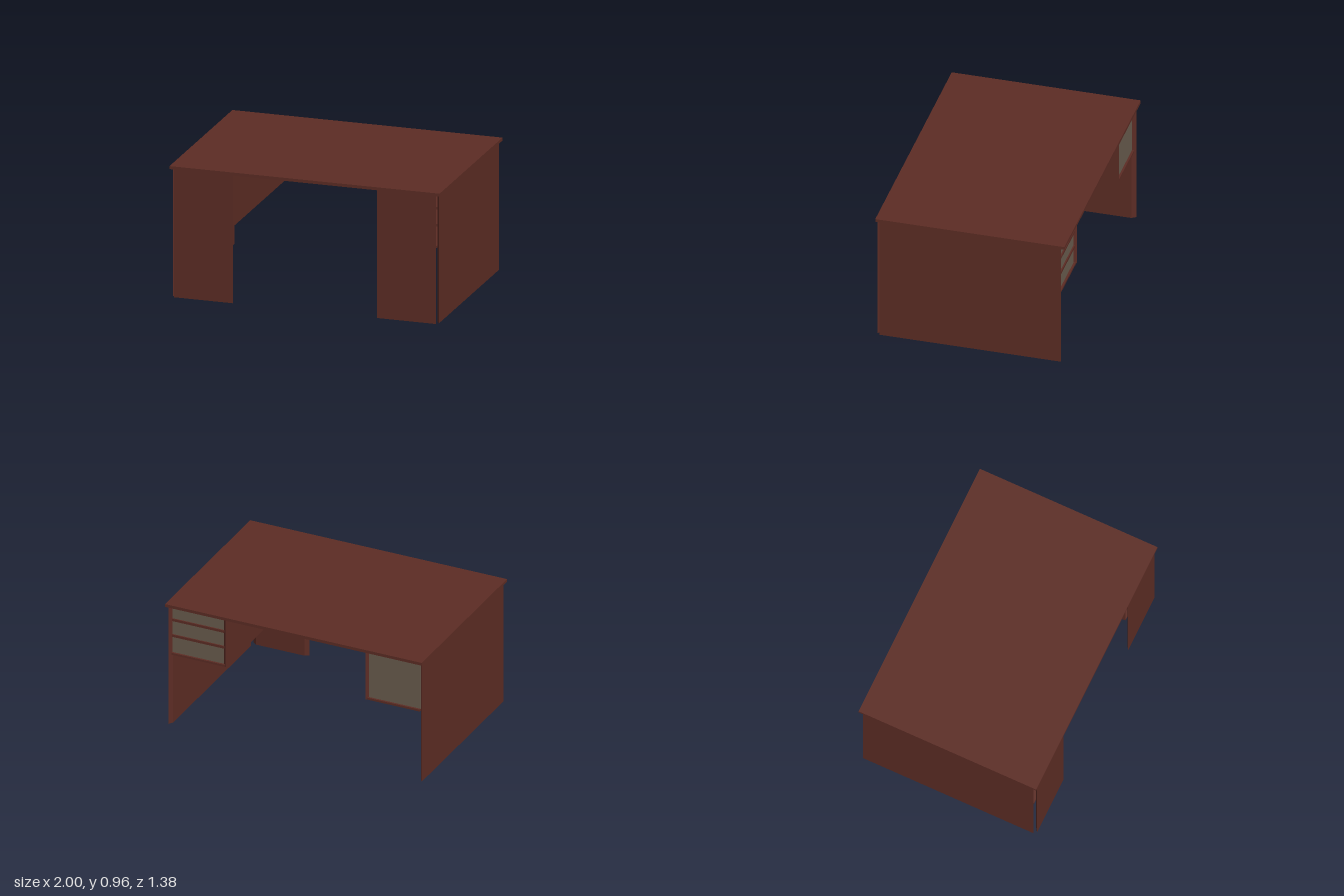
import * as THREE from 'three';

const wood = new THREE.MeshStandardMaterial({ color: 0x5c2c24 });
const frontFinish = new THREE.MeshStandardMaterial({ color: 0x6a5d4e });

const TOP_Y = 0.942;      // underside of the desktop
const FLOOR_Y = 0.55;     // underside of the pedestals
const BACK = -0.66;

function box(name, x0, x1, y0, y1, z0, z1, material = wood) {
  const mesh = new THREE.Mesh(new THREE.BoxGeometry(Math.abs(x1 - x0), y1 - y0, z1 - z0), material);
  mesh.position.set((x0 + x1) / 2, (y0 + y1) / 2, (z0 + z1) / 2);
  mesh.name = name;
  return mesh;
}

// Upright board with mitred ends: wide face on local +z, narrow face behind it
function mitredPanel(name, width, height, thickness = 0.02, mitre = 0.03) {
  const w = width / 2;
  const shape = new THREE.Shape([
    new THREE.Vector2(-w, 0),
    new THREE.Vector2(w, 0),
    new THREE.Vector2(w - mitre, thickness),
    new THREE.Vector2(-w + mitre, thickness),
  ]);
  const geometry = new THREE.ExtrudeGeometry(shape, { depth: height, bevelEnabled: false });
  geometry.rotateX(-Math.PI / 2);
  const mesh = new THREE.Mesh(geometry, wood);
  mesh.name = name;
  return mesh;
}

function createPedestal(side) {
  const group = new THREE.Group();
  group.name = side > 0 ? 'leftPedestal' : 'rightPedestal';

  // Outer side of the desk
  const outer = mitredPanel('sidePanel', 1.32, TOP_Y);
  outer.rotation.y = side * Math.PI / 2;
  outer.position.x = side * 0.985;

  // Modesty panel at the front
  const front = mitredPanel('frontPanel', 0.436, TOP_Y);
  front.position.set(side * 0.752, 0, 0.68);

  // Wall beside the knee space
  const inner = mitredPanel('kneeWall', 1.31, TOP_Y - FLOOR_Y, 0.02, 0.02);
  inner.rotation.y = -side * Math.PI / 2;
  inner.position.set(side * 0.545, FLOOR_Y, 0);

  const floor = box('pedestalFloor', side * 0.55, side * 0.966, FLOOR_Y, FLOOR_Y + 0.015, -0.65, 0.655);
  group.add(outer, front, inner, floor);

  // Drawers on one side, a single door on the other, facing the sitter
  const count = side > 0 ? 3 : 1;
  const y0 = FLOOR_Y + 0.015;
  const pitch = (TOP_Y - y0) / count;
  for (let i = 0; i < count; i++) {
    const low = y0 + i * pitch;
    const gap = i > 0 ? 0.018 : 0;
    if (gap) {
      group.add(box('drawerDivider', side * 0.562, side * 0.966, low, low + gap, BACK + 0.015, 0.6));
    }
    group.add(box(count > 1 ? 'drawerFront' : 'door', side * 0.562, side * 0.966,
      low + gap, low + pitch, BACK + 0.025, BACK + 0.045, frontFinish));
  }
  return group;
}

export function createModel() {
  const desk = new THREE.Group();
  desk.name = 'desk';
  desk.add(box('desktop', -1, 1, TOP_Y, 0.964, -0.688, 0.688));
  for (const side of [-1, 1]) desk.add(createPedestal(side));
  return desk;
}
